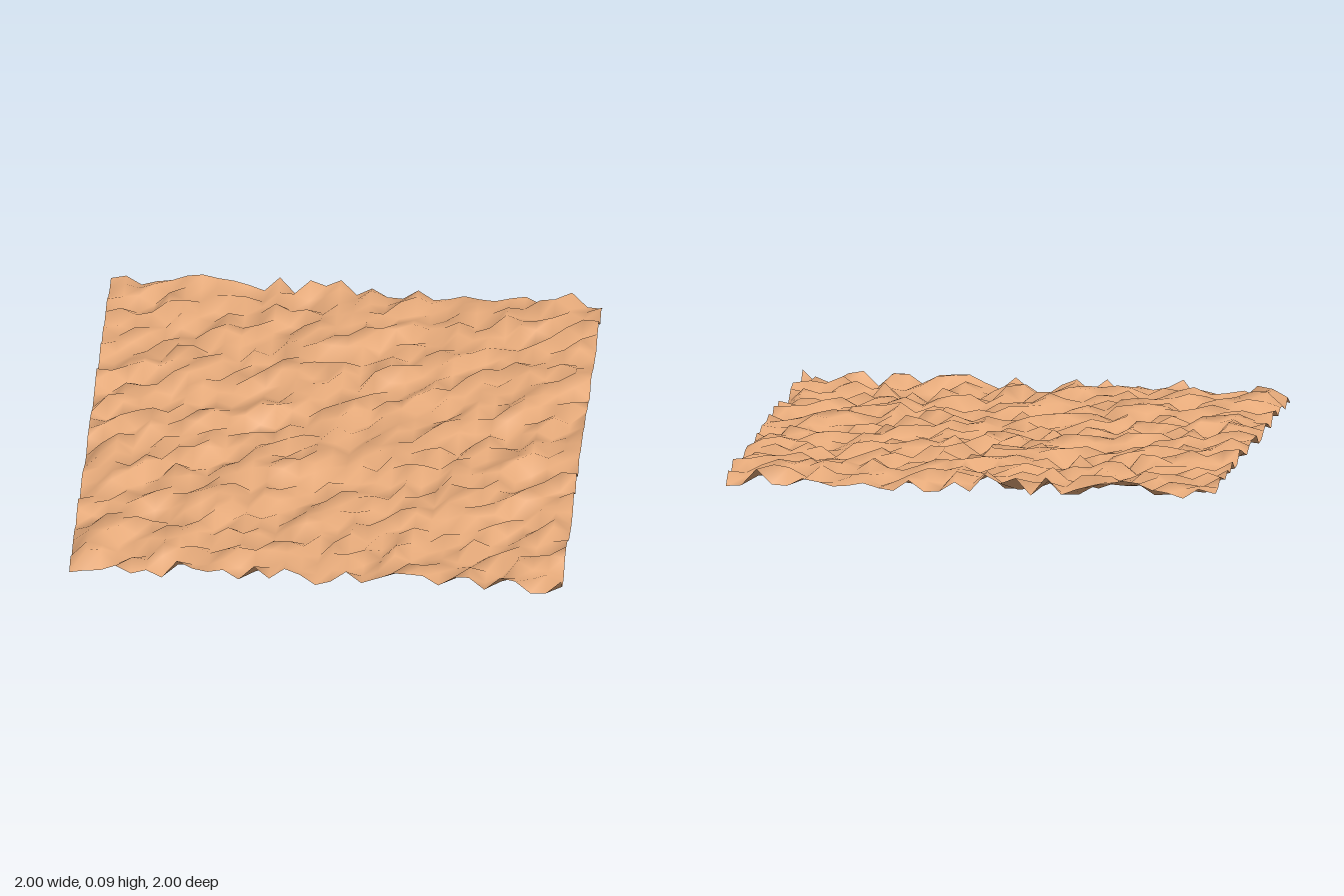
import * as THREE from 'three';

const SIZE = 2, SEGMENTS = 32, HEIGHT = 0.087;

// Repeatable pseudo-random value in 0..1 for a grid point
function hash(i) {
  let h = Math.imul(i + 101, 374761393);
  h = Math.imul(h ^ (h >>> 13), 1103515245);
  h = Math.imul(h ^ (h >>> 15), 2246822519);
  return ((h ^ (h >>> 16)) >>> 0) / 4294967296;
}

export function createModel() {
  const group = new THREE.Group();
  group.name = 'terrain';

  // Flat grid with every point raised by its own amount into jagged sandy ground
  const geometry = new THREE.PlaneGeometry(SIZE, SIZE, SEGMENTS, SEGMENTS).rotateX(-Math.PI / 2);
  const pos = geometry.attributes.position;
  for (let i = 0; i < pos.count; i++) pos.setY(i, HEIGHT * hash(i));
  geometry.computeVertexNormals();

  const sand = new THREE.MeshStandardMaterial({ color: 0xe6aa7a, side: THREE.DoubleSide });
  const ground = new THREE.Mesh(geometry, sand);
  ground.name = 'sandyGround';
  group.add(ground);
  return group;
}
